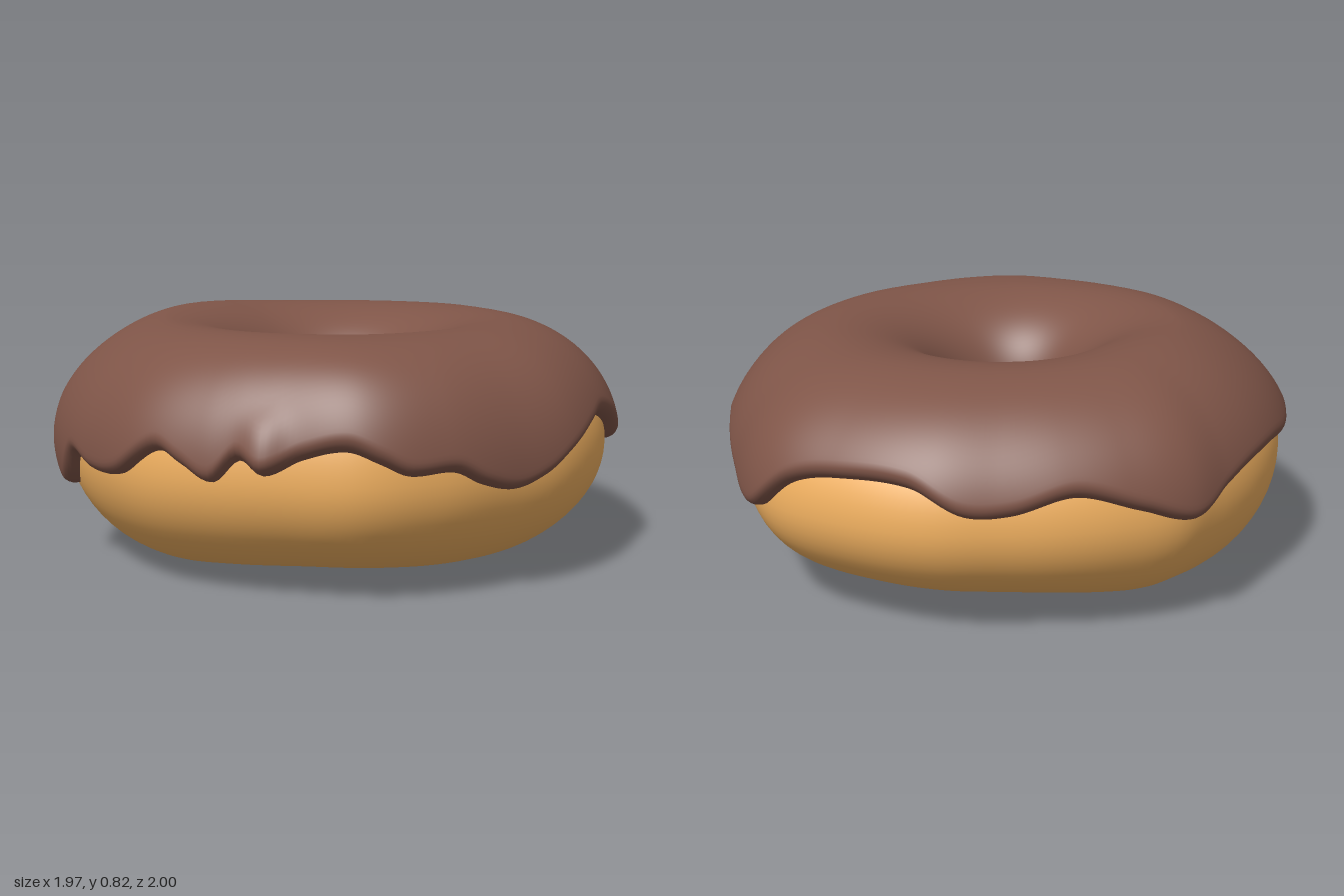
import * as THREE from 'three';

// Keys are [degrees around the ring, value]; 0 is +x and 90 is +z.
const OUTLINE = [[0, .99], [15, .995], [30, 1], [45, 1.005], [60, .985], [75, 1], [90, 1.015], [105, .98],
  [120, .985], [135, 1], [150, .985], [165, .985], [180, .995], [195, .995], [210, 1], [225, 1.01],
  [235, 1.035], [247, 1.02], [258, 1.01], [270, 1.01], [282, 1.04], [300, 1.06], [315, 1.08], [330, 1.03], [345, 1.005]];
const HEM = [[0, .39], [7, .365], [13, .39], [19, .46], [29, .515], [37, .49], [46, .43], [53, .37], [60, .34],
  [67, .37], [73, .42], [82, .42], [87, .46], [93, .5], [101, .47], [108, .415], [113, .46], [118, .385], [124, .43],
  [130, .47], [139, .375], [148, .36], [158, .39], [163, .3], [167, .26], [171, .32], [178, .47], [194, .47],
  [205, .485], [216, .475], [225, .44], [234, .385], [244, .44], [256, .5], [268, .45], [276, .45], [286, .53],
  [300, .53], [309, .49], [318, .365], [327, .41], [345, .49], [354, .45]];
const BOTTOM = [[0, .055], [55, .035], [95, .055], [125, .04], [150, .012], [180, 0], [220, .005], [265, .065], [315, .065]];
// Shoulder shape: below 1 is fuller, above 1 slopes more
const SHOULDER = [[0, 1.05], [45, .95], [90, .72], [135, 1], [180, 1.3], [225, 1.1], [270, 1.1], [315, 1.05]];

// Smooth interpolation through keys that wrap round the ring.
function around(keys, deg) {
  const n = keys.length;
  const at = (i) => {
    const k = keys[((i % n) + n) % n];
    return [k[0] + 360 * Math.floor(i / n), k[1]];
  };
  let i = n - 1;
  while (keys[i][0] > deg) i--;
  const [p, a, b, q] = [at(i - 1), at(i), at(i + 1), at(i + 2)];
  const h = b[0] - a[0], t = (deg - a[0]) / h;
  const ma = h * (b[1] - p[1]) / (b[0] - p[0]), mb = h * (q[1] - a[1]) / (q[0] - a[0]);
  const t2 = t * t, t3 = t2 * t;
  return (2 * t3 - 3 * t2 + 1) * a[1] + (t3 - 2 * t2 + t) * ma + (3 * t2 - 2 * t3) * b[1] + (t3 - t2) * mb;
}

const MID = .385;   // height of the widest part
const RING = .58;   // radius of the tube's centre line
const TUBE = .355;

// Point on the dough, or raised above it by lift.
function surfacePoint(deg, phi, lift) {
  const a = THREE.MathUtils.degToRad(deg);
  const c = Math.cos(phi), s = Math.sin(phi);
  const bump = .02 * Math.max(0, Math.cos(a - 3.75)) ** 6;
  const height = s > 0 ? .36 + bump : MID - around(BOTTOM, deg);
  const power = s > 0 ? around(SHOULDER, deg) : 1.15;
  let r = RING + (TUBE + lift) * (c > 0 ? c ** power : c);
  const weight = THREE.MathUtils.smoothstep(r, .2, .95);
  r *= 1 + (around(OUTLINE, deg) / .985 - 1) * weight;
  // The hole is narrowest a little above the middle
  const throat = c < 0 ? .08 * c * c : 0;
  return [r * Math.cos(a), MID + throat + (height + lift) * s, r * Math.sin(a)];
}

// Loft of cross-sections around the ring; point(deg, t) gives the section.
function ringSurface(segments, steps, closed, point) {
  const rows = closed ? steps : steps + 1;
  const positions = [], index = [];
  for (let i = 0; i < segments; i++) {
    for (let j = 0; j < rows; j++) positions.push(...point(i * 360 / segments, j / steps));
    for (let j = 0; j < steps; j++) {
      const k = (j + 1) % rows, next = ((i + 1) % segments) * rows;
      const a = i * rows + j, b = i * rows + k, c = next + j, d = next + k;
      index.push(a, b, c, b, d, c);
    }
  }
  const g = new THREE.BufferGeometry();
  g.setAttribute('position', new THREE.Float32BufferAttribute(positions, 3));
  g.setIndex(index);
  g.computeVertexNormals();
  return g;
}

export function createModel() {
  const group = new THREE.Group();
  group.name = 'doughnut';
  const add = (name, geometry, color, side) => {
    const mesh = new THREE.Mesh(geometry, new THREE.MeshStandardMaterial({ color, side }));
    mesh.name = name;
    group.add(mesh);
  };

  // Dough ring
  add('dough', ringSurface(160, 64, true, (deg, t) => surfacePoint(deg, t * 2 * Math.PI, 0)), 0xf0b060, THREE.FrontSide);

  // Icing with a rounded, dripping hem outside and an even one in the hole
  add('icing', ringSurface(360, 56, false, (deg, t) => {
    const outer = Math.asin((around(HEM, deg) - MID) / .385);
    const hole = .435 + .02 * Math.sin(THREE.MathUtils.degToRad(3 * deg));
    const inner = Math.PI - Math.asin((hole - MID) / .385);
    const phi = THREE.MathUtils.lerp(outer, inner, .5 - .5 * Math.cos(Math.PI * t));
    const edge = Math.min(1, Math.min(phi - outer, inner - phi) / .12);
    const c = Math.cos(phi);
    // A fat drip swells the front of the hem
    const drip = .03 * Math.exp(-(((deg - 108) / 4) ** 2)) * THREE.MathUtils.smoothstep(c, .8, 1);
    const thickness = THREE.MathUtils.lerp(.025, .05, THREE.MathUtils.smoothstep(c, -1, 0)) + drip;
    return surfacePoint(deg, phi, (thickness + .008) * Math.sqrt(Math.max(0, 1 - (1 - edge) ** 2)) - .008);
  }), 0x7f5548, THREE.DoubleSide);

  return group;
}
